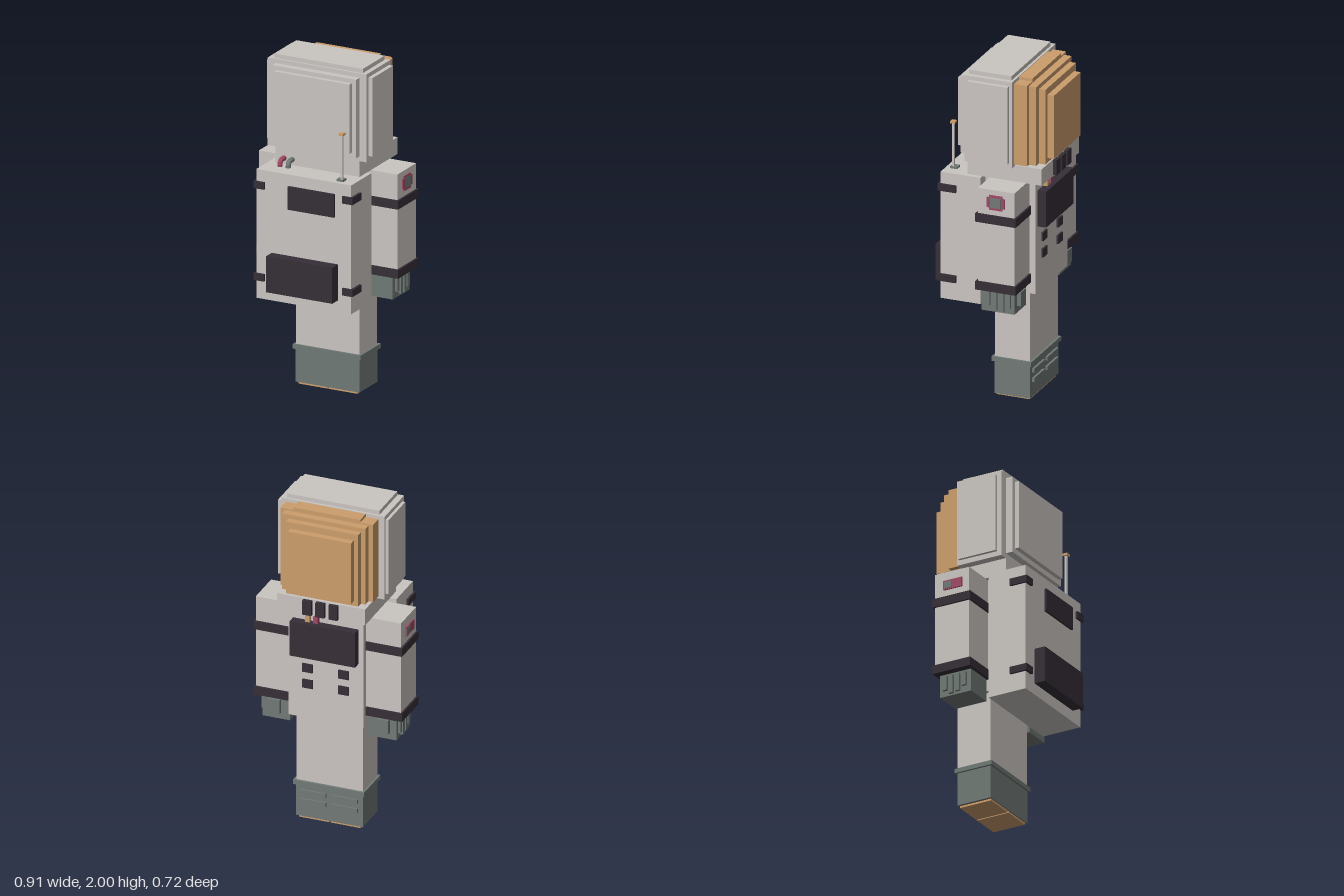
import * as THREE from 'three';

const mat = (name, color) => {
  const m = new THREE.MeshStandardMaterial({ color });
  m.name = name;
  return m;
};

export function createModel() {
  const suit = mat('suit grey', 0xcac5c1);
  const amber = mat('amber', 0xcc9e6c);
  const dark = mat('dark plum', 0x362e37);
  const slate = mat('slate green', 0x707975);
  const pink = mat('raspberry', 0xa04866);

  const root = new THREE.Group();
  root.name = 'spacesuit';
  const group = (name) => {
    const g = new THREE.Group();
    g.name = name;
    root.add(g);
    return g;
  };
  // Box given by its limits on each axis
  const box = (parent, name, m, x0, x1, y0, y1, z0, z1) => {
    const mesh = new THREE.Mesh(new THREE.BoxGeometry(x1 - x0, y1 - y0, z1 - z0), m);
    mesh.position.set((x0 + x1) / 2, (y0 + y1) / 2, (z0 + z1) / 2);
    mesh.name = name;
    parent.add(mesh);
    return mesh;
  };
  // Box on one side: a and b are distances from the middle
  const sideBox = (parent, name, m, s, a, b, ...rest) =>
    box(parent, name, m, Math.min(s * a, s * b), Math.max(s * a, s * b), ...rest);

  // Helmet: core with stepped plates on top, sides and rear
  const helmet = group('helmet');
  box(helmet, 'helmetCore', suit, -0.315, 0.317, 1.45, 1.975, -0.155, 0.135);
  box(helmet, 'helmetTop', suit, -0.278, 0.288, 1.97, 2.0, -0.14, 0.122);
  box(helmet, 'helmetSides', suit, -0.333, 0.343, 1.48, 1.95, -0.138, 0.108);
  box(helmet, 'helmetRearStep', suit, -0.264, 0.275, 1.48, 1.95, 0.12, 0.178);
  box(helmet, 'helmetRearPlate', suit, -0.238, 0.247, 1.51, 1.925, 0.17, 0.205);

  // Visor: stacked layers, each smaller than the last
  const visor = group('visor');
  [
    [-0.278, 0.288, 1.465, 1.955, -0.235],
    [-0.25, 0.261, 1.465, 1.945, -0.28],
    [-0.222, 0.221, 1.465, 1.92, -0.32],
    [-0.195, 0.193, 1.495, 1.88, -0.36],
  ].forEach(([x0, x1, y0, y1, z], i) =>
    box(visor, 'visorLayer' + (i + 1), amber, x0, x1, y0, y1, z, -0.15));
  box(visor, 'visorCap', amber, -0.2, 0.212, 1.95, 1.972, -0.236, -0.15);

  // Collar with three dark tabs
  const collar = group('collar');
  box(collar, 'collarBlock', suit, -0.265, 0.275, 1.355, 1.455, -0.32, 0.135);
  for (const x of [-0.075, 0.005, 0.085])
    box(collar, 'collarTab', dark, x - 0.027, x + 0.027, 1.36, 1.45, -0.342, -0.31);

  // Torso with chest panel, buttons and hoses
  const torso = group('torso');
  box(torso, 'torsoBlock', suit, -0.232, 0.23, 0.667, 1.356, -0.262, 0.05);
  box(torso, 'chestPanel', dark, -0.2, 0.2, 1.07, 1.288, -0.315, -0.25);
  for (const x of [-0.11, 0.11])
    for (const y of [0.885, 0.985])
      box(torso, 'chestButton', dark, x - 0.032, x + 0.032, y - 0.026, y + 0.026, -0.273, -0.25);
  box(torso, 'chestHose', amber, 0.09, 0.118, 1.28, 1.356, -0.288, -0.255);
  box(torso, 'chestHose', pink, 0.04, 0.068, 1.28, 1.33, -0.288, -0.255);

  // Backpack with corner clips and panels
  const pack = group('backpack');
  box(pack, 'packBlock', suit, -0.305, 0.303, 0.585, 1.356, 0.045, 0.289);
  box(pack, 'upperPanel', dark, -0.097, 0.2, 1.15, 1.288, 0.28, 0.303);
  box(pack, 'lowerBox', dark, -0.207, 0.218, 0.655, 0.87, 0.28, 0.358);
  for (const s of [-1, 1])
    for (const y of [0.715, 1.265])
      sideBox(pack, 'packClip', dark, s, 0.25, 0.318, y - 0.021, y + 0.021, 0.192, 0.303);

  // Antenna
  box(pack, 'antennaBase', slate, 0.192, 0.235, 1.35, 1.367, 0.217, 0.26);
  box(pack, 'antennaRod', suit, 0.214, 0.227, 1.36, 1.632, 0.239, 0.252);
  box(pack, 'antennaTip', amber, 0.206, 0.235, 1.63, 1.644, 0.231, 0.26);

  // Curved hoses from backpack to collar
  for (const [x, m] of [[-0.209, pink], [-0.156, slate]]) {
    const path = new THREE.CatmullRomCurve3([
      [x, 1.35, 0.186], [x, 1.375, 0.185], [x, 1.389, 0.172], [x, 1.391, 0.155], [x, 1.391, 0.125],
    ].map((p) => new THREE.Vector3(...p)));
    const hose = new THREE.Mesh(new THREE.TubeGeometry(path, 12, 0.015, 8), m);
    hose.name = 'packHose';
    pack.add(hose);
  }

  // Arms: sleeve, bands, glove with fingers and thumb
  for (const s of [-1, 1]) {
    const arm = group(s > 0 ? 'leftArm' : 'rightArm');
    sideBox(arm, 'sleeve', suit, s, 0.231, 0.444, 0.745, 1.356, -0.225, 0);
    for (const y of [0.763, 1.177])
      sideBox(arm, 'armBand', dark, s, 0.225, 0.455, y - 0.026, y + 0.026, -0.236, 0.012);
    sideBox(arm, 'glove', slate, s, 0.24, 0.41, 0.6, 0.745, -0.21, -0.008);
    [[-0.05, 0.64], [-0.092, 0.615], [-0.134, 0.61], [-0.174, 0.635]].forEach(([z, y]) =>
      sideBox(arm, 'finger', slate, s, 0.4, 0.425, y, 0.722, z - 0.014, z + 0.014));
    sideBox(arm, 'thumb', slate, s, 0.295, 0.37, 0.64, 0.725, -0.233, -0.2);
  }

  // Shoulder badges: octagonal on the left, rectangular on the right
  const badges = group('badges');
  box(badges, 'badgeWide', pink, 0.44, 0.451, 1.25, 1.311, -0.166, -0.056);
  box(badges, 'badgeTall', pink, 0.44, 0.451, 1.236, 1.325, -0.152, -0.07);
  box(badges, 'badgeCentre', slate, 0.445, 0.453, 1.25, 1.311, -0.144, -0.078);
  box(badges, 'badgePlate', pink, -0.453, -0.44, 1.245, 1.302, -0.165, -0.044);
  box(badges, 'badgeInset', slate, -0.455, -0.445, 1.253, 1.294, -0.16, -0.108);

  // Legs, boots, treads and soles
  const legs = group('legs');
  box(legs, 'trousers', suit, -0.207, 0.2, 0.22, 0.7, -0.215, 0);
  box(legs, 'boots', slate, -0.208, 0.202, 0.012, 0.225, -0.217, 0.002);
  box(legs, 'bootCuff', slate, -0.22, 0.215, 0.211, 0.238, -0.23, 0.014);
  for (const x of [-0.1, 0.093]) {
    for (const y of [0.115, 0.172])
      box(legs, 'bootStrap', slate, x - 0.078, x + 0.078, y - 0.012, y + 0.012, -0.231, -0.21);
    box(legs, 'sole', amber, x - 0.092, x + 0.092, 0, 0.014, -0.21, -0.005);
  }
  return root;
}
